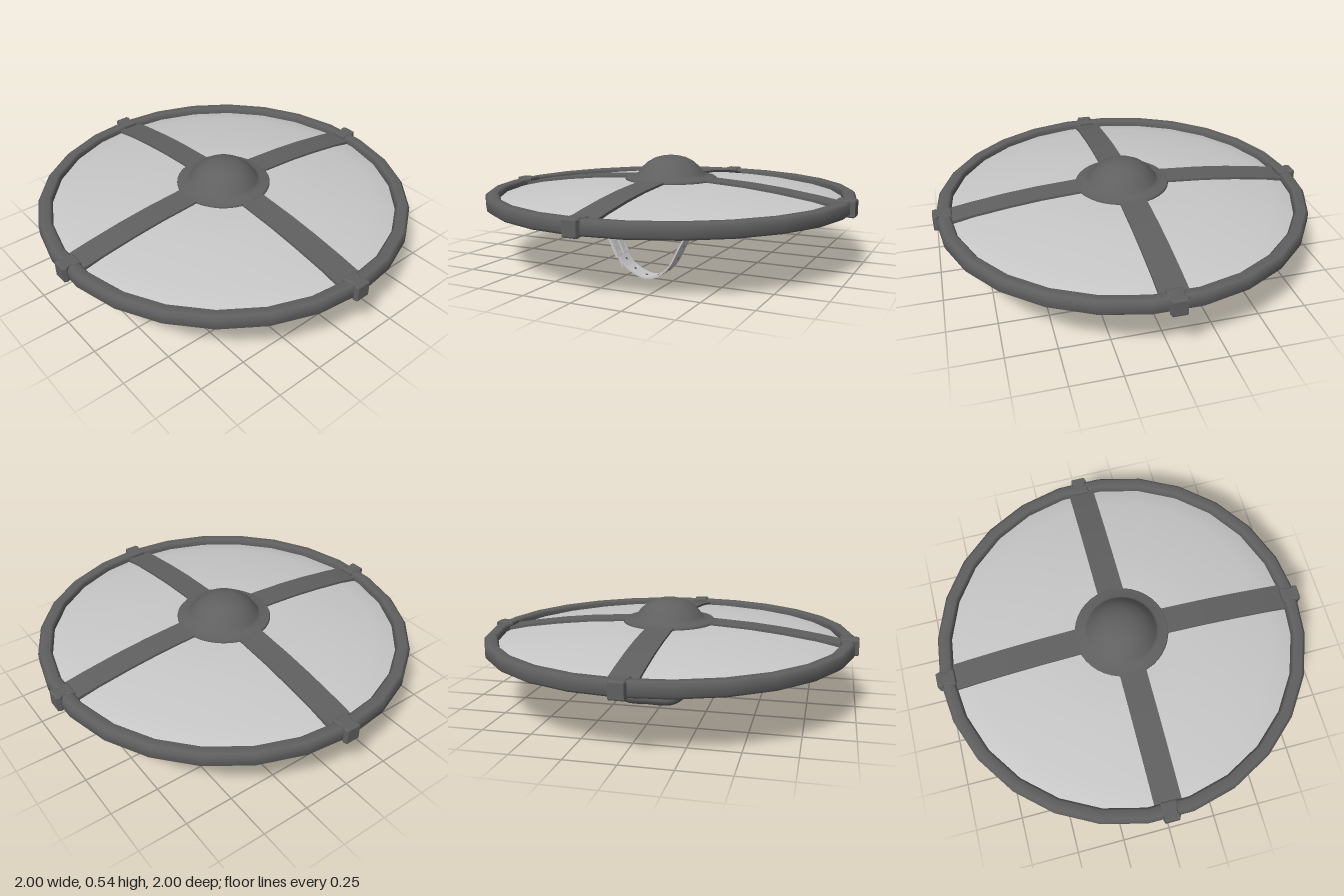
import * as THREE from 'three';

const light = new THREE.MeshStandardMaterial({ color: 0xc8c8c8 });
light.name = 'paleBoard';
const dark = new THREE.MeshStandardMaterial({ color: 0x606060 });
dark.name = 'darkIron';

const V = (list) => list.map(([x, y]) => new THREE.Vector2(x, y));

// Height of the hollow underside of the board at a given radius
const UNDER = [[0.2, 0.398], [0.45, 0.382], [0.8, 0.335], [0.92, 0.3]];
function underside(r) {
  if (r <= UNDER[0][0]) return UNDER[0][1];
  for (let i = 1; i < UNDER.length; i++) {
    const [r0, y0] = UNDER[i - 1], [r1, y1] = UNDER[i];
    if (r <= r1) return y0 + (y1 - y0) * (r - r0) / (r1 - r0);
  }
  return 0.3;
}

export function createModel() {
  const group = new THREE.Group();

  function add(name, geometry, material, parent = group) {
    const mesh = new THREE.Mesh(geometry, material);
    mesh.name = name;
    parent.add(mesh);
    return mesh;
  }

  // Outline in x/y, extruded along z and centred on the given z
  function slab(outline, depth, z = 0) {
    const g = new THREE.ExtrudeGeometry(new THREE.Shape(V(outline)), { depth, bevelEnabled: false });
    return g.translate(0, 0, z - depth / 2);
  }

  // Domed round board with a hole behind the boss
  add('board', new THREE.LatheGeometry(V([
    ...UNDER, [0.93, 0.315], [0.92, 0.33], [0.8, 0.356], [0.62, 0.382],
    [0.45, 0.401], [0.2, 0.418], [0.2, 0.398],
  ]), 26), light);

  // Rounded rim
  add('rim', new THREE.LatheGeometry(V([
    [0.925, 0.29], [0.968, 0.29], [0.984, 0.304], [0.984, 0.35], [0.968, 0.364],
    [0.925, 0.364], [0.912, 0.35], [0.912, 0.304], [0.925, 0.29],
  ]), 26), dark);

  // Hollow boss with a flat flange
  add('boss', new THREE.LatheGeometry(V([
    [0, 0.523], [0.07, 0.512], [0.125, 0.48], [0.165, 0.435], [0.178, 0.405],
    [0.24, 0.405], [0.247, 0.412], [0.247, 0.422], [0.24, 0.429], [0.195, 0.431],
    [0.18, 0.447], [0.157, 0.478], [0.125, 0.507], [0.085, 0.529], [0.045, 0.539], [0, 0.542],
  ]), 40), dark);

  // Four bands from boss to rim, each held by a pinched clamp
  const band = [[0.2, 0.428], [0.45, 0.412], [0.62, 0.394], [0.8, 0.368], [0.93, 0.345],
    [0.93, 0.32], [0.8, 0.35], [0.45, 0.39], [0.2, 0.41]];
  const clampShape = new THREE.Shape(V([
    [0.91, -0.034], [0.93, -0.034], [0.945, -0.026], [0.965, -0.026], [0.98, -0.034], [0.992, -0.03],
    [0.992, 0.03], [0.98, 0.034], [0.965, 0.026], [0.945, 0.026], [0.93, 0.034], [0.91, 0.034],
  ]));
  for (let i = 0; i < 4; i++) {
    const arm = new THREE.Group();
    arm.name = 'arm' + (i + 1);
    arm.rotation.y = i * Math.PI / 2;
    group.add(arm);
    add('band', slab(band, 0.14), dark, arm);
    const clamp = new THREE.ExtrudeGeometry(clampShape, {
      depth: 0.07, bevelThickness: 0.008, bevelSize: 0.008, bevelSegments: 2,
    });
    add('clamp', clamp.rotateX(Math.PI / 2).translate(0, 0.362, 0), dark, arm);
  }

  // Planks under the board: flat below, fitted to the dome above
  function plank(name, z, half, width, notch) {
    const outline = [[-half, 0.32], [half, 0.32]];
    const n = 16;
    for (let i = 0; i <= n; i++) {
      const x = half * (1 - 2 * i / n);
      const y = underside(Math.hypot(x, z)) + 0.006;
      if (notch && Math.abs(x) < 0.2) continue;
      outline.push([x, Math.max(y, 0.328)]);
      // Slim grip where the plank crosses the hollow of the boss
      const next = half * (1 - 2 * (i + 1) / n);
      if (notch && x > 0.2 && next <= 0.2) {
        outline.push([0.19, 0.404], [0.17, 0.35], [-0.17, 0.35], [-0.19, 0.404]);
      }
    }
    add(name, slab(outline, width, z), light);
  }
  plank('gripPlank', 0, 0.86, 0.1, true);
  plank('handlePlank', -0.46, 0.645, 0.085, false);
  plank('strapPlank', 0.49, 0.645, 0.085, false);

  // Handle: a tube with flared feet
  const path = new THREE.CatmullRomCurve3([
    [-0.265, 0.315], [-0.215, 0.26], [-0.18, 0.18], [-0.115, 0.127], [0, 0.122],
    [0.115, 0.127], [0.18, 0.18], [0.215, 0.26], [0.265, 0.315],
  ].map(([x, y]) => new THREE.Vector3(x, y, 0)));
  const tube = new THREE.TubeGeometry(path, 40, 0.03, 10, false);
  const p = tube.attributes.position;
  for (let i = 0; i < p.count; i++) {
    const c = path.getPointAt(Math.floor(i / 11) / 40);
    const flare = 1 + 0.35 * THREE.MathUtils.smoothstep(c.y, 0.22, 0.31);
    p.setXYZ(i, c.x + (p.getX(i) - c.x) * flare, c.y + (p.getY(i) - c.y) * flare, p.getZ(i) * 0.9);
  }
  tube.computeVertexNormals();
  add('handle', tube.translate(0, 0, -0.46), dark);

  // Leather strap in two lengths, with punched holes and rivets
  const straps = new THREE.Group();
  straps.name = 'strap';
  straps.position.z = 0.49;
  group.add(straps);

  function dot(name, curve, t, z, r) {
    const c = curve.getPointAt(t), d = curve.getTangentAt(t);
    const m = add(name, new THREE.CylinderGeometry(r, r, 0.012, 8), dark, straps);
    m.position.set(c.x, c.y, z);
    m.rotation.z = Math.atan2(d.y, d.x);
  }
  function strap(name, points, width, holes) {
    const curve = new THREE.SplineCurve(V(points));
    const upper = [], lower = [], n = 40;
    for (let i = 0; i <= n; i++) {
      const c = curve.getPointAt(i / n), d = curve.getTangentAt(i / n);
      upper.push([c.x - d.y * 0.004, c.y + d.x * 0.004]);
      lower.unshift([c.x + d.y * 0.004, c.y - d.x * 0.004]);
    }
    add(name, slab([...upper, ...lower], width), light, straps);
    for (let i = 0; i < holes; i++) dot('hole', curve, 0.3 + 0.66 * i / (holes - 1), 0, 0.007);
    for (const t of [0.03, 0.12]) for (const z of [-0.025, 0.025]) dot('rivet', curve, t, z, 0.008);
  }
  strap('longStrap', [[0.58, 0.314], [0.42, 0.31], [0.36, 0.28], [0.3, 0.18], [0.25, 0.085],
    [0.19, 0.026], [0.12, 0.006], [0.05, 0.028], [0, 0.065], [-0.05, 0.14], [-0.1, 0.23]], 0.09, 10);
  strap('shortStrap', [[-0.48, 0.314], [-0.22, 0.311], [-0.14, 0.285], [-0.085, 0.225],
    [-0.04, 0.125], [-0.005, 0.045]], 0.085, 4);

  // Buckle frame with crossbar and prong
  const buckle = new THREE.Group();
  buckle.name = 'buckle';
  buckle.position.set(-0.052, 0.15, 0);
  buckle.rotation.z = Math.atan2(-0.19, 0.09);
  straps.add(buckle);
  const frame = new THREE.Shape(V([[-0.06, -0.058], [0.06, -0.058], [0.06, 0.058], [-0.06, 0.058]]));
  frame.holes.push(new THREE.Path(V([[-0.046, -0.046], [-0.046, 0.046], [0.046, 0.046], [0.046, -0.046]])));
  const frameGeo = new THREE.ExtrudeGeometry(frame, { depth: 0.014, bevelEnabled: false });
  add('buckleFrame', frameGeo.rotateX(Math.PI / 2).translate(0, 0.007, 0), light, buckle);
  add('buckleBar', new THREE.BoxGeometry(0.012, 0.014, 0.11), light, buckle);
  add('buckleProng', new THREE.BoxGeometry(0.11, 0.008, 0.012), light, buckle).position.y = 0.01;

  return group;
}
